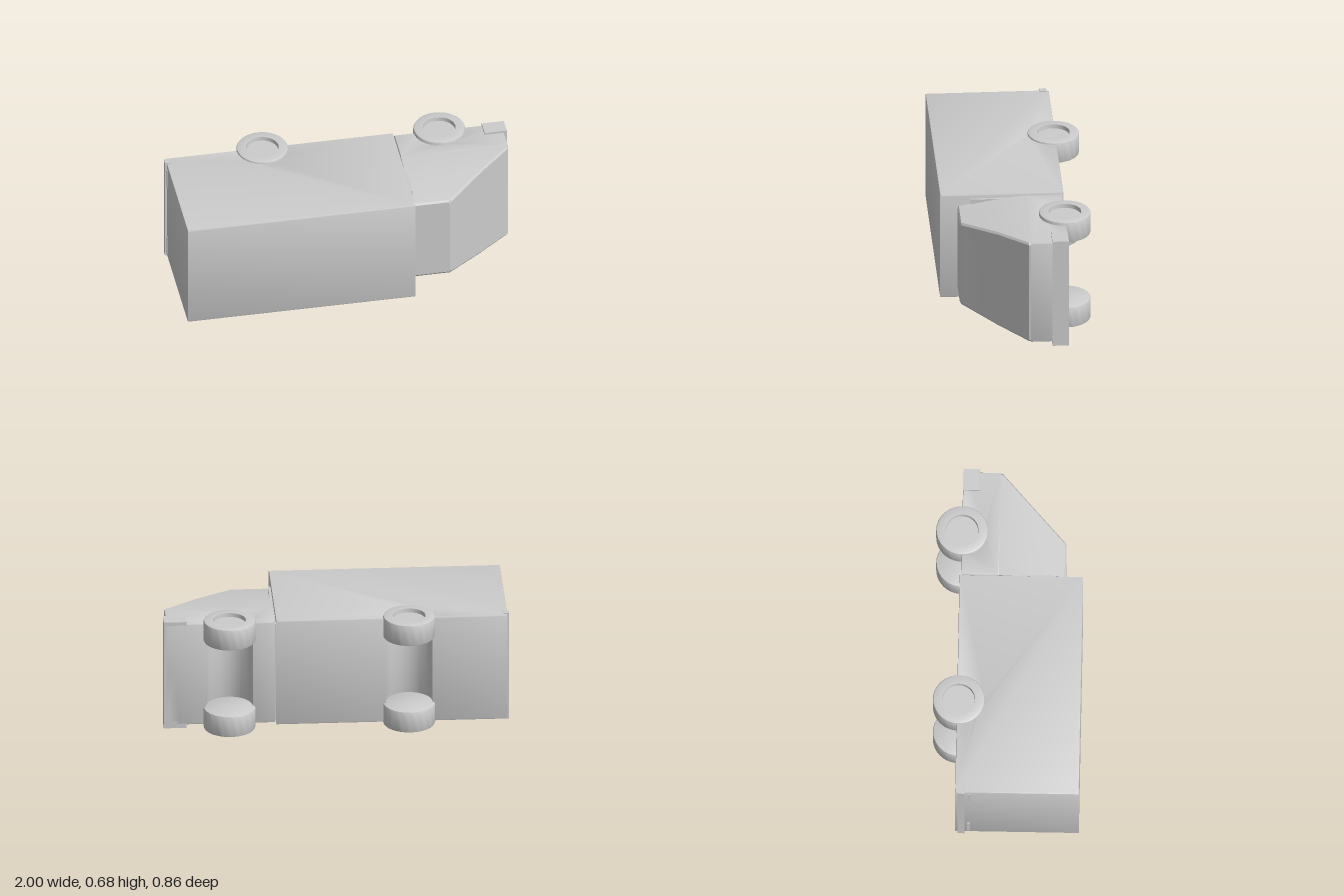
import * as THREE from 'three';
import { toCreasedNormals } from 'three/addons/utils/BufferGeometryUtils.js';

const MID = 0.345;        // centre of the truck's width, along y
const AXLE_Z = -0.28;
const REAR_X = -0.42;
const FRONT_X = 0.62;
const material = new THREE.MeshStandardMaterial({ color: 0xcccccc, side: THREE.DoubleSide });

function addMesh(group, name, geometry) {
  const mesh = new THREE.Mesh(geometry, material);
  mesh.name = name;
  group.add(mesh);
  return mesh;
}

// Profile in x and z with a wheel arch, extruded across the width
function archedBody(x0, x1, z0, z1, halfWidth, archX) {
  const bevel = 0.008, radius = 0.135;
  const half = Math.sqrt(radius ** 2 - (z0 - AXLE_Z) ** 2);
  const angle = Math.atan2(z0 - AXLE_Z, half);
  const shape = new THREE.Shape();
  shape.moveTo(x0, z0);
  shape.lineTo(archX - half, z0);
  shape.absarc(archX, AXLE_Z, radius, Math.PI - angle, angle, true);
  shape.lineTo(x1, z0);
  shape.lineTo(x1, z1);
  shape.lineTo(x0, z1);
  const geo = new THREE.ExtrudeGeometry(shape, {
    depth: 2 * (halfWidth - bevel), curveSegments: 24,
    bevelEnabled: true, bevelThickness: bevel, bevelSize: bevel, bevelOffset: -bevel, bevelSegments: 2,
  });
  geo.rotateX(Math.PI / 2);
  geo.translate(0, MID + halfWidth - bevel, 0);
  return toCreasedNormals(geo, 0.6);
}

// Tapering upper cab, lofted through sections at rising z
function cabTop() {
  const x0 = 0.355;
  const levels = [ // z, front x, half width
    [-0.075, 0.985, 0.317], [-0.05, 0.982, 0.317], [0.12, 0.795, 0.299],
    [0.317, 0.585, 0.262], [0.325, 0.57, 0.25],
  ];
  const c = 0.012;
  const position = [], index = [];
  for (const [z, xf, w] of levels) {
    for (const [x, y] of [[x0, -w], [xf - c, -w], [xf, c - w], [xf, w - c], [xf - c, w], [x0, w]]) {
      position.push(x, MID + y, z);
    }
  }
  for (let k = 0; k < levels.length - 1; k++) {
    for (let i = 0; i < 6; i++) {
      const a = k * 6 + i, b = k * 6 + (i + 1) % 6;
      index.push(a, b, b + 6, a, b + 6, a + 6);
    }
  }
  const top = (levels.length - 1) * 6;
  for (let i = 1; i < 5; i++) index.push(top, top + i, top + i + 1);
  const geo = new THREE.BufferGeometry();
  geo.setAttribute('position', new THREE.Float32BufferAttribute(position, 3));
  geo.setIndex(index);
  return toCreasedNormals(geo, 0.15);
}

// Wheel with flat inner face and recessed hub on the outside
function wheelGeometry() {
  const profile = [[0, 0], [0.14, 0], [0.147, 0.003], [0.15, 0.01], [0.15, 0.122], [0.147, 0.129],
    [0.14, 0.132], [0.095, 0.132], [0.093, 0.108], [0, 0.108]];
  const geo = new THREE.LatheGeometry(profile.map(([r, y]) => new THREE.Vector2(r, y)), 40);
  return toCreasedNormals(geo, 0.6);
}

function box(group, name, x0, x1, y0, y1, z0, z1) {
  const mesh = addMesh(group, name, new THREE.BoxGeometry(x1 - x0, y1 - y0, z1 - z0));
  mesh.position.set((x0 + x1) / 2, (y0 + y1) / 2, (z0 + z1) / 2);
}

export function createModel() {
  const truck = new THREE.Group();
  truck.name = 'boxTruck';

  // Bodywork, lying on its side: forward is +x, the roof faces +z
  addMesh(truck, 'cargoBox', archedBody(-0.99, 0.35, -0.29, 0.425, 0.329, REAR_X));
  addMesh(truck, 'cabBase', archedBody(0.355, 0.985, -0.28, -0.06, 0.319, FRONT_X));
  addMesh(truck, 'cabTop', cabTop());
  box(truck, 'cabLink', 0.34, 0.365, 0.04, 0.65, -0.275, 0.25);

  // Bumpers and rear lights
  box(truck, 'frontBumper', 0.87, 1, 0.007, 0.677, -0.28, -0.185);
  box(truck, 'rearBumper', -1, -0.965, 0.013, 0.68, -0.275, -0.235);
  for (const side of [-1, 1]) {
    const y = MID + side * 0.24;
    box(truck, 'rearLight', -0.994, -0.98, y - 0.06, y + 0.06, -0.222, -0.205);
  }

  // Wheels
  const wheel = wheelGeometry();
  for (const [axle, x] of [['rear', REAR_X], ['front', FRONT_X]]) {
    for (const side of [-1, 1]) {
      const mesh = addMesh(truck, axle + 'Wheel', wheel);
      mesh.position.set(x, MID + side * 0.208, AXLE_Z);
      if (side < 0) mesh.rotation.x = Math.PI;
    }
  }
  return truck;
}
